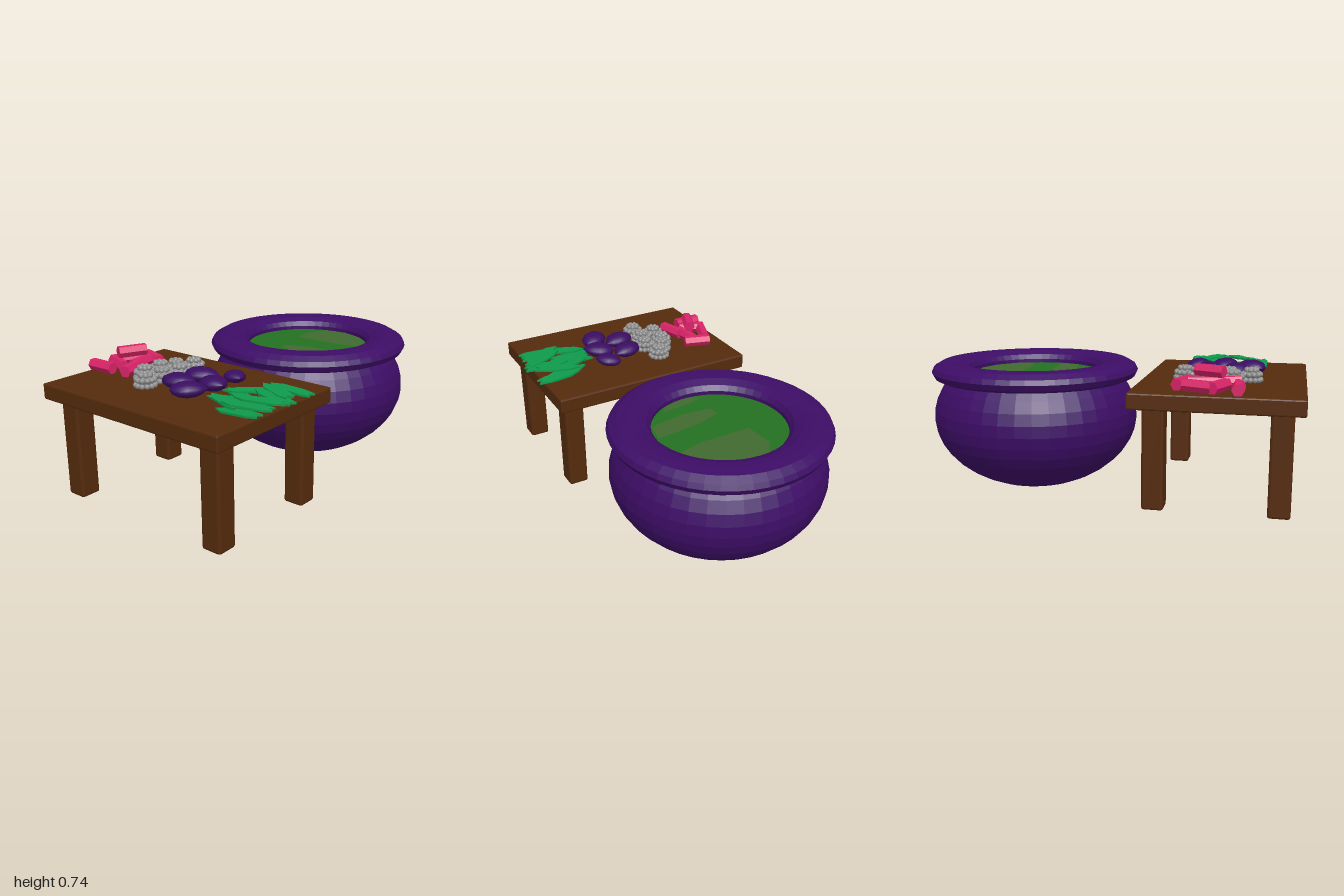
import * as THREE from 'three';
import { RoundedBoxGeometry } from 'three/addons/geometries/RoundedBoxGeometry.js';
import { mergeGeometries } from 'three/addons/utils/BufferGeometryUtils.js';

const mat = (name, color, options = {}) => {
  const m = new THREE.MeshStandardMaterial({ color, ...options });
  m.name = name;
  return m;
};

export function createModel() {
  const purple = mat('purple iron', 0x3d0d66, { flatShading: true });
  const plum = mat('plum skin', 0x3a0d62);
  const wood = mat('brown wood', 0x552b0d, { flatShading: true });
  const brew = mat('green brew', 0x237022, { side: THREE.DoubleSide });
  const scum = mat('murky brew', 0x416a2e, { side: THREE.DoubleSide });
  const pink = mat('pink crystal', 0xd92468, { flatShading: true });
  const grey = mat('grey berry', 0x8c8c8c, { flatShading: true });
  const green = mat('leaf green', 0x0f9a4c, { flatShading: true });

  const model = new THREE.Group();
  const add = (parent, name, geometry, material, x = 0, y = 0, z = 0, yaw = 0) => {
    const m = new THREE.Mesh(geometry, material);
    m.name = name;
    m.position.set(x, y, z);
    m.rotation.y = yaw;
    parent.add(m);
    return m;
  };
  const group = (name) => {
    const g = new THREE.Group();
    g.name = name;
    model.add(g);
    return g;
  };
  const points = (list) => list.map(([x, y]) => new THREE.Vector2(x, y));

  // Cauldron: round bowl and a wide rolled rim
  const cauldron = group('cauldron');
  cauldron.position.set(-0.05, 0, -0.45);
  const bowl = [];
  for (let i = 0; i <= 14; i++) {
    const a = -Math.PI / 2 + (i / 14) * 2.14;
    bowl.push([Math.max(0, Math.cos(a) * 0.545), 0.387 + Math.sin(a) * 0.387]);
  }
  add(cauldron, 'bowl', new THREE.LatheGeometry(points(bowl), 40), purple);
  const rim = [[0.43, 0.588], [0.5, 0.585], [0.535, 0.6], [0.55, 0.63], [0.538, 0.655],
    [0.5, 0.677], [0.45, 0.682], [0.4, 0.678], [0.355, 0.66], [0.335, 0.635], [0.335, 0.6]];
  add(cauldron, 'rim', new THREE.LatheGeometry(points(rim), 48), purple);

  // Brew with murky streaks on its surface
  const disc = new THREE.CircleGeometry(0.345, 48).rotateX(-Math.PI / 2);
  add(cauldron, 'brew', disc, brew, 0, 0.615, 0);
  const streaks = [
    [[-0.14, 0.22], [-0.09, 0.3], [0.03, 0.33], [0.16, 0.29], [0.26, 0.2], [0.29, 0.12], [0.15, 0.08], [-0.12, 0.07]],
    [[-0.06, -0.12], [0.08, -0.07], [0.31, -0.04], [0.29, -0.15], [0.1, -0.19], [-0.05, -0.18]],
    [[-0.07, -0.3], [0.03, -0.27], [0.18, -0.25], [0.14, -0.3], [0.02, -0.33]],
  ];
  for (const s of streaks) {
    const g = new THREE.ShapeGeometry(new THREE.Shape(points(s))).rotateX(-Math.PI / 2);
    add(cauldron, 'brewStreak', g, scum, 0, 0.618, 0);
  }

  // Table, turned slightly
  const table = group('table');
  table.position.set(0, 0, 0.567);
  table.rotation.y = 0.036;
  add(table, 'tableTop', new RoundedBoxGeometry(1.12, 0.08, 0.815, 1, 0.008), wood, 0, 0.58, 0);
  const leg = new RoundedBoxGeometry(0.107, 0.52, 0.107, 1, 0.012);
  for (const x of [-0.452, 0.452]) {
    for (const z of [-0.298, 0.298]) add(table, 'leg', leg, wood, x + 0.012, 0.3, z + 0.006);
  }

  // Pink crystals: short six-sided sticks, one lying on the heap
  const crystals = group('crystals');
  const stick = new THREE.CylinderGeometry(0.031, 0.031, 0.145, 6).rotateZ(Math.PI / 2);
  const crystalSpots = [
    [-0.4, 0.65, 0.415, -0.25], [-0.485, 0.65, 0.5, 1.25], [-0.46, 0.65, 0.595, -0.35],
    [-0.475, 0.65, 0.685, 0.07], [-0.335, 0.65, 0.61, -1.25], [-0.38, 0.65, 0.51, -1.4],
    [-0.41, 0.713, 0.545, 1.2],
  ];
  crystalSpots.forEach(([x, y, z, yaw]) => add(crystals, 'crystal', stick, pink, x, y, z, yaw));

  // Grey berries: rings of small beads round a core
  const beads = [new THREE.IcosahedronGeometry(0.042, 1).scale(1, 0.75, 1).translate(0, 0.036, 0)];
  for (const [count, radius, y] of [[12, 0.046, 0.014], [11, 0.043, 0.04], [7, 0.025, 0.061], [1, 0, 0.064]]) {
    for (let i = 0; i < count; i++) {
      const a = (i / count) * Math.PI * 2 + y * 20;
      beads.push(new THREE.IcosahedronGeometry(0.014, 1)
        .translate(Math.cos(a) * radius, y, Math.sin(a) * radius));
    }
  }
  const berry = mergeGeometries(beads);
  const berries = group('berries');
  [[-0.135, 0.38], [-0.185, 0.455], [-0.222, 0.525], [-0.105, 0.505], [-0.13, 0.6],
    [-0.22, 0.63], [-0.125, 0.71]].forEach(([x, z], i) => add(berries, 'berry', berry, grey, x, 0.619, z, i));

  // Purple plums: almond shaped, lying on their sides
  const almond = [[0, -0.086], [0.032, -0.074], [0.056, -0.045], [0.065, -0.005],
    [0.057, 0.035], [0.036, 0.065], [0.012, 0.082], [0, 0.09]];
  const plumShape = new THREE.LatheGeometry(points(almond), 20).rotateZ(-Math.PI / 2).scale(1, 0.58, 1);
  const plums = group('plums');
  [[0.02, 0.48, 0.5], [0.165, 0.4, -0.5], [0.01, 0.62, 0.35], [0.162, 0.545, -0.3], [0.137, 0.685, 0.8]]
    .forEach(([x, z, yaw], i) => {
      const p = add(plums, 'plum', plumShape, plum, x, 0.657, z, yaw);
      if (i === 1) p.scale.setScalar(0.82);
      p.rotation.z = i % 2 ? 0.12 : 0;
    });

  // Green leaves: flat blades with a forked tail, loosely stacked
  const blade = [[-0.12, 0], [-0.07, -0.03], [0.07, -0.036], [0.12, -0.02],
    [0.095, 0], [0.12, 0.022], [0.05, 0.036], [-0.06, 0.03]];
  const leafShape = new THREE.ExtrudeGeometry(new THREE.Shape(points(blade)), { depth: 0.01, bevelEnabled: false })
    .rotateX(-Math.PI / 2);
  const leaves = group('leaves');
  [[0.47, 0.355, 0.05, 0.64], [0.4, 0.42, 0.25, 0.625], [0.33, 0.49, 0.55, 0.64], [0.49, 0.5, -0.1, 0.645],
    [0.45, 0.435, -0.35, 0.65], [0.31, 0.6, 0.2, 0.622], [0.48, 0.585, 0.45, 0.65], [0.34, 0.66, -0.3, 0.635],
    [0.46, 0.71, 0.1, 0.623], [0.47, 0.655, 0.4, 0.64], [0.33, 0.545, -0.35, 0.63]]
    .forEach(([x, z, yaw, y], i) => {
      const l = add(leaves, 'leaf', leafShape, green, x, y, z, yaw);
      l.rotation.z = ((i % 3) - 1) * 0.05;
    });

  return model;
}
